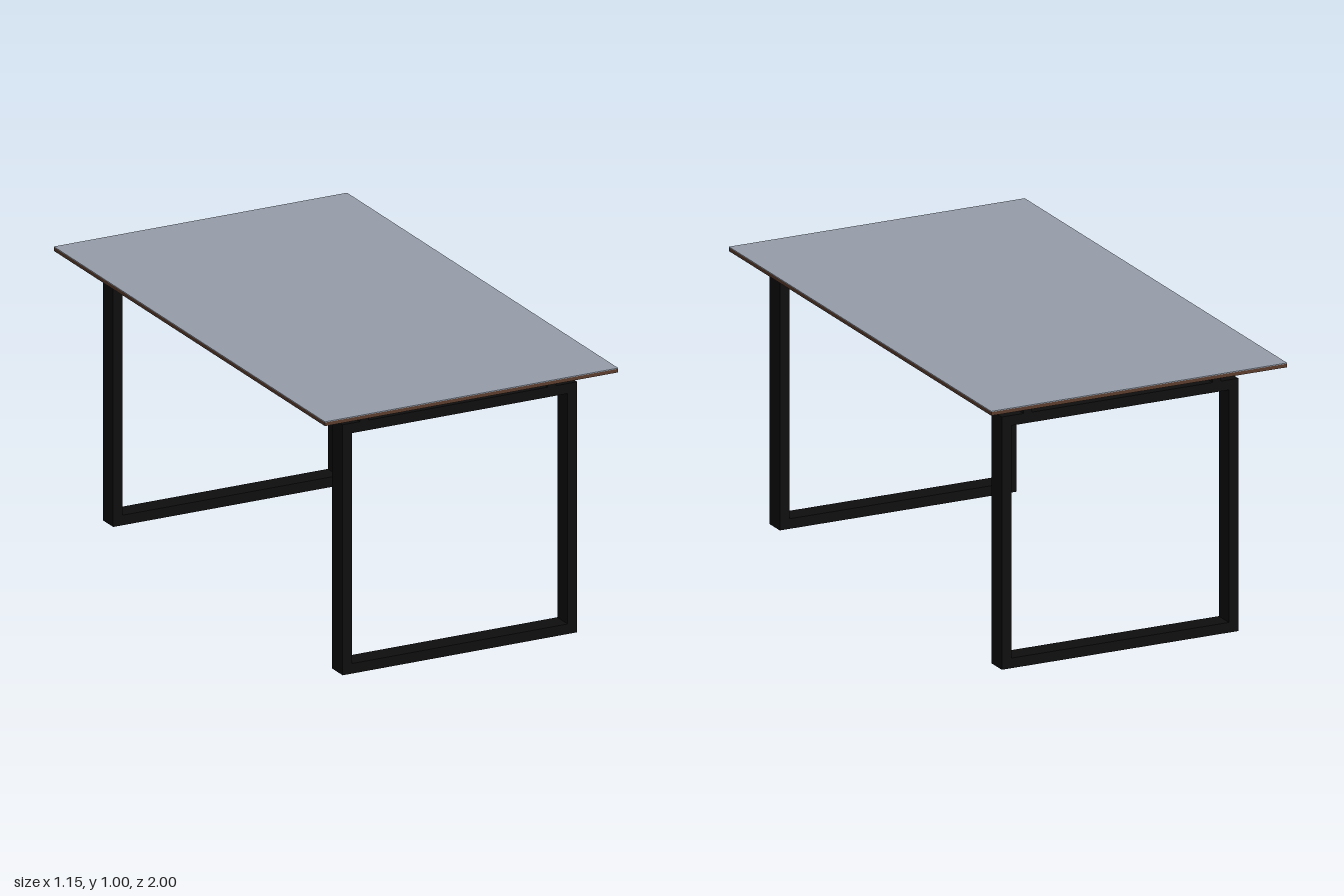
import * as THREE from 'three';

const black = new THREE.MeshStandardMaterial({ color: 0x0e0e0e });
const brown = new THREE.MeshStandardMaterial({ color: 0x5a3c2c });
const slate = new THREE.MeshStandardMaterial({ color: 0x969eab });

// Box given by its lower and upper limits on each axis
function box(name, material, [x0, x1], [y0, y1], [z0, z1]) {
  const mesh = new THREE.Mesh(new THREE.BoxGeometry(x1 - x0, y1 - y0, z1 - z0), material);
  mesh.position.set((x0 + x1) / 2, (y0 + y1) / 2, (z0 + z1) / 2);
  mesh.name = name;
  return mesh;
}

// Rectangular leg loop cut from one flat bar section
function legFrame(name, z) {
  const x0 = -0.445, x1 = 0.476, top = 0.925, bar = 0.037, depth = 0.077;
  const shape = new THREE.Shape([
    new THREE.Vector2(x0, 0), new THREE.Vector2(x1, 0),
    new THREE.Vector2(x1, top), new THREE.Vector2(x0, top),
  ]);
  shape.holes.push(new THREE.Path([
    new THREE.Vector2(x0 + bar, bar), new THREE.Vector2(x0 + bar, top - bar),
    new THREE.Vector2(x1 - bar, top - bar), new THREE.Vector2(x1 - bar, bar),
  ]));
  const mesh = new THREE.Mesh(
    new THREE.ExtrudeGeometry(shape, { depth, bevelEnabled: false }), black);
  mesh.position.z = z - depth / 2;
  mesh.name = name;
  return mesh;
}

export function createModel() {
  const table = new THREE.Group();
  table.name = 'table';

  // Leg frames at both ends
  table.add(legFrame('frontLegFrame', 0.846), legFrame('backLegFrame', -0.846));

  // Long rails resting on the frames
  table.add(
    box('rightRail', black, [-0.378, -0.344], [0.925, 0.98], [-0.885, 0.885]),
    box('leftRail', black, [0.359, 0.392], [0.925, 0.98], [-0.885, 0.885]));

  // Wooden panel with a thin slate-coloured surface
  table.add(
    box('tabletopPanel', brown, [-0.576, 0.576], [0.98, 0.993], [-1, 1]),
    box('tabletopSurface', slate, [-0.576, 0.576], [0.993, 0.996], [-1, 1]));

  return table;
}
